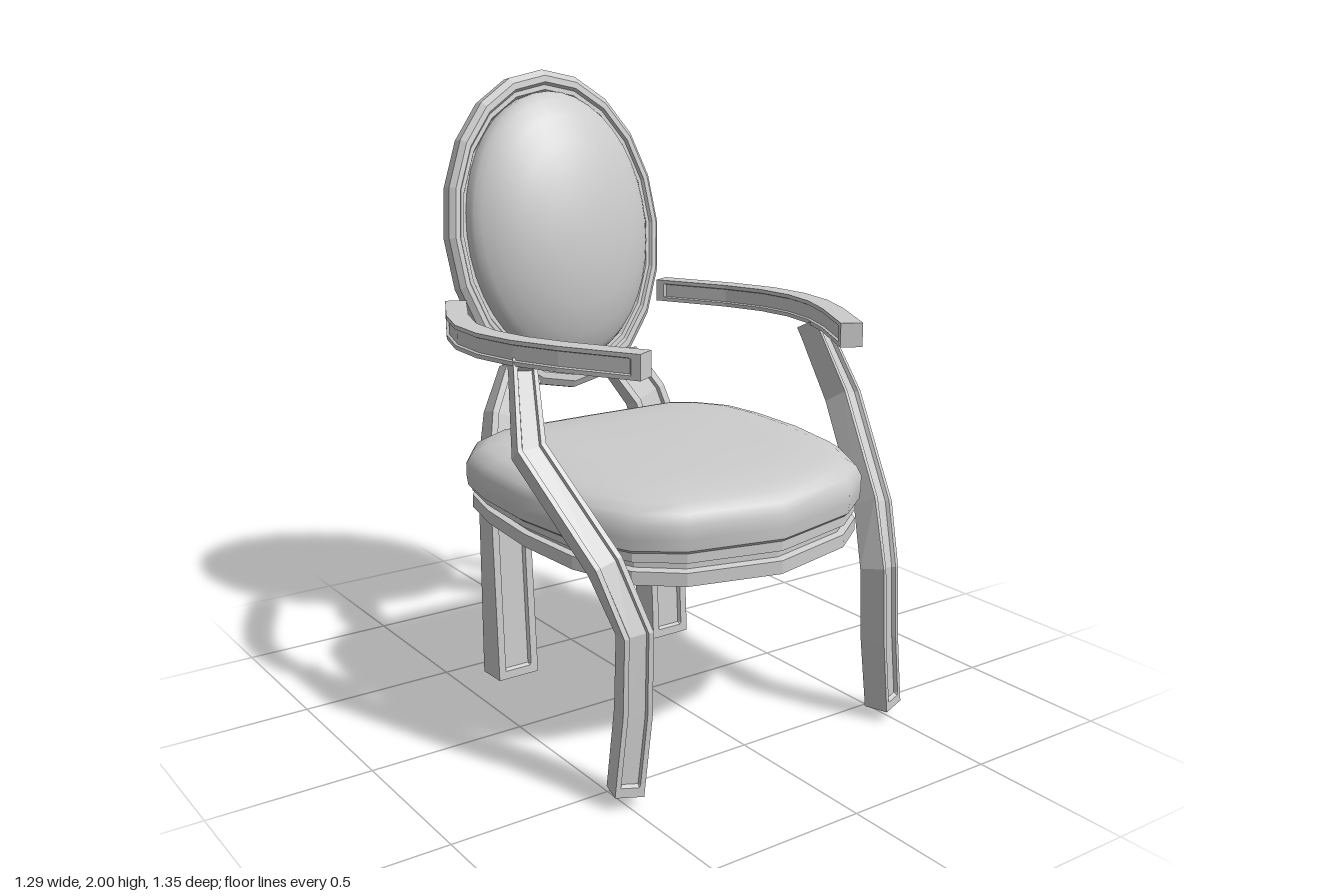
import * as THREE from 'three';
import { toCreasedNormals } from 'three/addons/utils/BufferGeometryUtils.js';

const V = (x, y, z) => new THREE.Vector3(x, y, z);
const flatMat = new THREE.MeshStandardMaterial({ color: 0xcccccc, flatShading: true });
const softMat = new THREE.MeshStandardMaterial({ color: 0xcccccc });

// Closed skin through equal-length rings, with fan caps at both ends
function loft(rings) {
  const n = rings[0].length, last = (rings.length - 1) * n;
  const index = [];
  for (let i = 0; i < rings.length - 1; i++) {
    for (let j = 0; j < n; j++) {
      const a = i * n + j, b = i * n + (j + 1) % n;
      index.push(a, b, b + n, a, b + n, a + n);
    }
  }
  for (let j = 1; j < n - 1; j++) {
    index.push(0, j + 1, j, last, last + j, last + j + 1);
  }
  const g = new THREE.BufferGeometry().setFromPoints(rings.flat());
  g.setIndex(index);
  g.computeVertexNormals();
  return g;
}

// Rectangular bar along a path, with a sunk panel on two opposite sides.
// ref sets the direction of half-width a; sizes holds [a, b] per point or once.
function panelBar(points, ref, sizes, depth = 0.012) {
  const size = i => sizes[Math.min(i, sizes.length - 1)];
  const n = points.length;
  const stations = points.map((p, i) => ({ p, d: i === 0 || i === n - 1 ? 0 : depth, s: size(i) }));
  const near = (i, k, dist, d) => ({
    p: points[i].clone().addScaledVector(points[k].clone().sub(points[i]).normalize(), dist), d, s: size(i),
  });
  stations.splice(n - 1, 0, near(n - 1, n - 2, 0.035, depth), near(n - 1, n - 2, 0.028, 0));
  stations.splice(1, 0, near(0, 1, 0.028, 0), near(0, 1, 0.035, depth));
  const dir = (i, k) => stations[k].p.clone().sub(stations[i].p).normalize();
  const end = stations.length - 1;
  return loft(stations.map(({ p, d, s: [a, b] }, i) => {
    const T = dir(Math.max(i - 1, 0), i === 0 ? 1 : i);
    if (i > 0 && i < end) T.add(dir(i, i + 1)).normalize();
    const S = ref.clone().addScaledVector(T, -ref.dot(T)).normalize();
    const D = T.clone().cross(S);
    const g = a * 0.66, h = a * 0.58;
    return [
      [a, -b], [a, b], [g, b], [h, b - d], [-h, b - d], [-g, b],
      [-a, b], [-a, -b], [-g, -b], [-h, d - b], [h, d - b], [g, -b],
    ].map(([u, v]) => p.clone().addScaledVector(S, u).addScaledVector(D, v));
  }));
}

// Elliptical turned shape facing +z, from a profile of [radius fraction, height]
function oval(profile, rx, ry, segments) {
  const g = new THREE.LatheGeometry(profile.map(([r, h]) => new THREE.Vector2(r, h)), segments);
  return g.rotateX(Math.PI / 2).scale(rx, ry, 1);
}

// Horizontal seat layers: [height, inset, rise towards the back]
function seatLayers(levels) {
  const half = [
    [0, 0.675], [0.3, 0.61], [0.43, 0.52], [0.52, 0.34], [0.555, 0.12], [0.555, -0.1],
    [0.53, -0.25], [0.45, -0.36], [0.36, -0.41], [0, -0.415],
  ];
  const outline = [...half, ...half.slice(1, -1).reverse().map(([x, z]) => [-x, z])];
  return loft(levels.map(([y, inset, rise]) => {
    const k = 1 - inset / 0.55;
    return outline.map(([x, z]) => {
      const zz = 0.13 + (z - 0.13) * k;
      return V(x * k, y + rise * (0.66 - zz), zz);
    });
  }));
}

export function createModel() {
  const model = new THREE.Group();
  const add = (name, geometry, material, parent = model) => {
    const mesh = new THREE.Mesh(geometry, material);
    mesh.name = name;
    parent.add(mesh);
    return mesh;
  };

  // Seat rail with a groove, and the padded cushion above it
  add('seatRail', seatLayers([
    [0.6, 0.015, 0.067], [0.64, 0.015, 0.067], [0.645, 0.035, 0.065],
    [0.665, 0.035, 0.055], [0.67, 0.015, 0.05], [0.7, 0.015, 0.03],
  ]), flatMat);
  add('seatCushion', toCreasedNormals(seatLayers([
    [0.695, 0.02, 0.03], [0.71, 0.004, 0.025], [0.745, 0, 0.02], [0.785, 0, 0.02],
    [0.815, 0.015, 0.02], [0.838, 0.05, 0.02], [0.852, 0.1, 0.02], [0.862, 0.25, 0.02], [0.866, 0.5, 0.02],
  ]), 0.7), softMat);

  // Leaning oval back: moulded frame and domed pad
  const back = new THREE.Group();
  back.name = 'back';
  back.position.set(0, 1.467, -0.56);
  back.rotation.x = -0.167;
  model.add(back);
  add('backFrame', oval([
    [0, -0.028], [1, -0.028], [1, 0.012], [0.96, 0.028], [0.92, 0.028],
    [0.905, 0.018], [0.875, 0.018], [0.86, 0.005], [0, 0.005],
  ], 0.412, 0.538, 20), flatMat, back);
  add('backCushion', toCreasedNormals(oval([
    [1, 0], [1, 0.035], [0.98, 0.05], [0.93, 0.07], [0.8, 0.105],
    [0.6, 0.14], [0.35, 0.162], [0.15, 0.17], [0, 0.171],
  ], 0.343, 0.455, 40), 0.7), softMat, back).position.y = 0.008;

  for (const [side, s] of [['left', 1], ['right', -1]]) {
    const path = pts => pts.map(([x, y, z]) => V(s * x, y, z));

    // Front leg sweeping up and back into the arm support
    add(side + 'FrontLeg', panelBar(path([
      [0.495, 0.035, 0.585], [0.468, 0.27, 0.586], [0.46, 0.5, 0.582], [0.502, 0.68, 0.5],
      [0.592, 0.965, 0.25], [0.545, 1.2, 0.14],
    ]), V(0.96, 0, -0.28 * s), [[0.043, 0.04], [0.043, 0.042], [0.043, 0.042], [0.043, 0.042], [0.043, 0.042], [0.035, 0.038]]), flatMat);

    // Rear leg curving inward to carry the back
    add(side + 'RearLeg', panelBar(path([
      [0.315, 0, -0.38], [0.315, 0.3, -0.39], [0.315, 0.6, -0.4], [0.312, 0.75, -0.405],
      [0.28, 0.88, -0.435], [0.2, 1.01, -0.475],
    ]), V(1, 0, 0), [[0.074, 0.054], [0.073, 0.048], [0.072, 0.042], [0.07, 0.038], [0.068, 0.033], [0.068, 0.028]]), flatMat);

    // Bowed armrest
    add(side + 'Armrest', panelBar(path([
      [0.41, 1.233, -0.52], [0.53, 1.233, -0.28], [0.58, 1.233, -0.13], [0.588, 1.233, 0.01],
      [0.56, 1.233, 0.15], [0.5, 1.233, 0.29], [0.375, 1.233, 0.515],
    ]), V(0, 1, 0), [[0.037, 0.034]], 0.008), flatMat);
  }
  return model;
}
